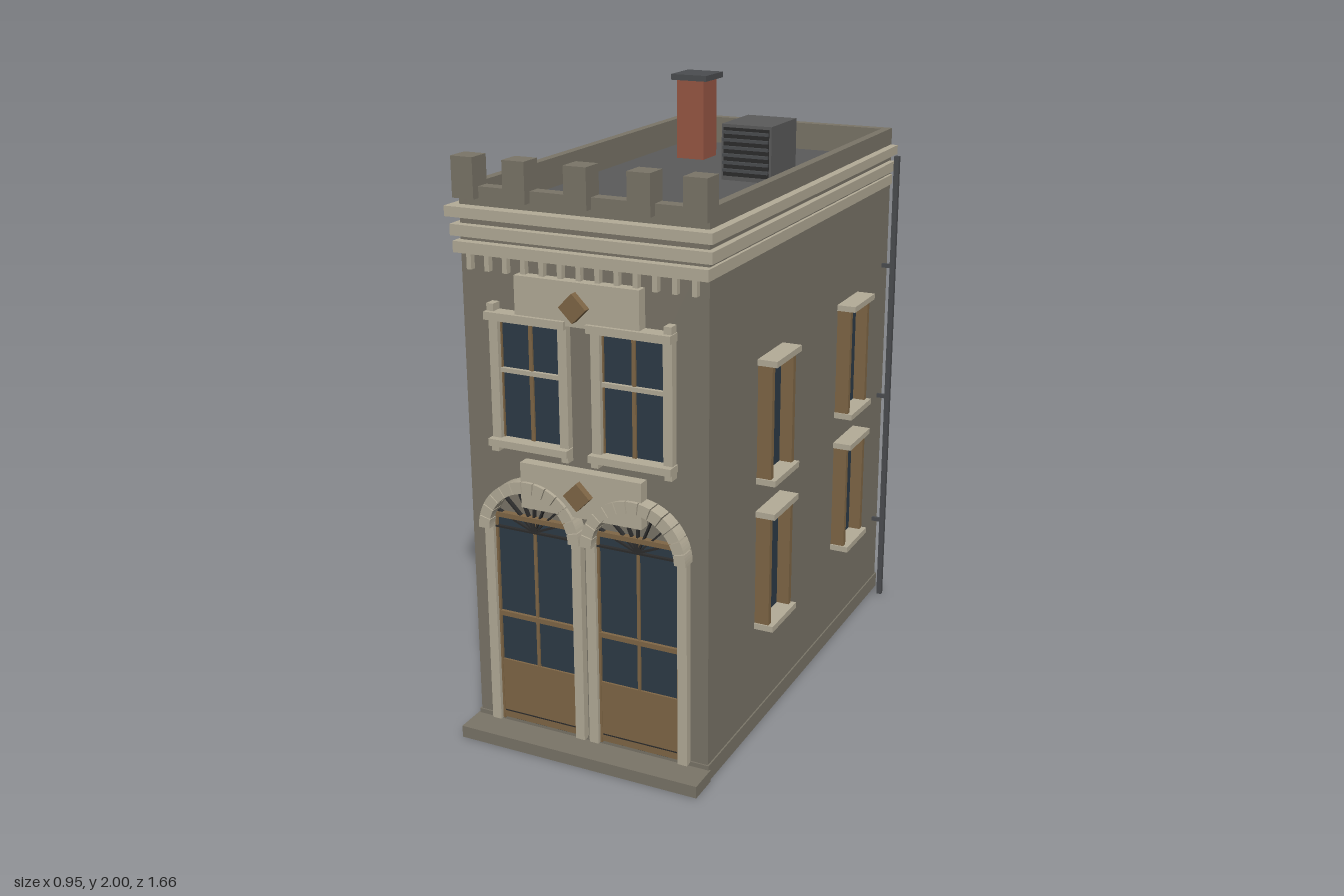
import * as THREE from 'three';

const mat = (name, color) => new THREE.MeshStandardMaterial({ name, color });

export function createModel() {
  const model = new THREE.Group();
  model.name = 'townhouse';
  const stone = mat('wall stone', 0x7a7568);
  const trim = mat('pale trim', 0xb4ac98);
  const wood = mat('wood', 0x806746);
  const glass = mat('dark glass', 0x2d3b47);
  const roofing = mat('roof grey', 0x5b5b5b);
  const iron = mat('dark iron', 0x4b4d50);
  const brick = mat('brick', 0x985744);
  const black = mat('black metal', 0x2c2c2c);

  const add = (name, geo, material, parent = model) => {
    const m = new THREE.Mesh(geo, material);
    m.name = name;
    parent.add(m);
    return m;
  };
  // Box given by its extents on each axis
  const box = (name, material, x0, x1, y0, y1, z0, z1, parent = model) => {
    const m = add(name, new THREE.BoxGeometry(x1 - x0, y1 - y0, z1 - z0), material, parent);
    m.position.set((x0 + x1) / 2, (y0 + y1) / 2, (z0 + z1) / 2);
    return m;
  };
  const rect = (path, x0, x1, y0, y1) =>
    path.moveTo(x0, y0).lineTo(x1, y0).lineTo(x1, y1).lineTo(x0, y1).closePath();

  // Main body, plinth and front step
  box('body', stone, -0.41, 0.41, 0.03, 1.7, -0.8, 0.73);
  box('plinth', stone, -0.415, 0.415, 0, 0.055, -0.83, 0.735);
  box('frontStep', stone, -0.42, 0.42, 0, 0.04, 0.73, 0.835);

  // Rear wall with two recessed windows
  const floors = [[0.37, 0.76], [0.87, 1.26]];
  const rear = new THREE.Shape();
  rect(rear, -0.41, 0.41, 0.05, 1.8);
  for (const [y0, y1] of floors) {
    const hole = new THREE.Path();
    rect(hole, -0.13, 0.13, y0, y1);
    rear.holes.push(hole);
    box('rearGlass', glass, -0.13, 0.13, y0, y1, -0.806, -0.799);
  }
  add('rearWall', new THREE.ExtrudeGeometry(rear, { depth: 0.025, bevelEnabled: false }), stone)
    .position.z = -0.825;

  // Sunken roof, parapet and battlements
  box('roofDeck', roofing, -0.385, 0.385, 1.695, 1.705, -0.795, 0.69);
  for (const s of [-1, 1]) {
    const x = s * 0.395;
    box('sideParapet', stone, x - 0.015, x + 0.015, 1.7, 1.8, -0.8, 0.73);
  }
  box('frontParapet', stone, -0.38, 0.38, 1.7, 1.8, 0.685, 0.73);
  box('rearParapet', stone, -0.38, 0.38, 1.7, 1.8, -0.8, -0.79);
  for (const x of [-0.378, -0.203, 0, 0.203, 0.378])
    box('merlon', stone, x - 0.037, x + 0.037, 1.765, 1.89, 0.682, 0.758);

  // Cornice bands round the front and both sides
  const bands = [[1.6, 1.635, 0.42, 0.76], [1.65, 1.685, 0.43, 0.757], [1.71, 1.742, 0.437, 0.772]];
  for (const [y0, y1, w, z] of bands) {
    for (const s of [-1, 1])
      box('sideCornice', trim, Math.min(s * 0.4, s * w), Math.max(s * 0.4, s * w), y0, y1, -0.815, 0.735);
    box('frontCornice', trim, -w, w, y0, y1, 0.715, z);
  }
  for (let i = 0; i < 13; i++) {
    const x = -0.372 + i * 0.062;
    box('dentil', trim, x - 0.008, x + 0.008, 1.55, 1.602, 0.725, 0.75);
  }

  // Chimney
  box('chimney', brick, -0.255, -0.152, 1.7, 1.98, -0.54, -0.43);
  box('chimneyCap', iron, -0.273, -0.137, 1.98, 2, -0.56, -0.42);

  // Roof ventilation unit with louvres
  box('ventUnit', roofing, 0.057, 0.234, 1.7, 1.89, -0.34, -0.125);
  box('ventGrille', black, 0.065, 0.226, 1.72, 1.88, -0.126, -0.121);
  for (let i = 0; i < 6; i++)
    box('ventLouvre', iron, 0.065, 0.226, 1.735 + i * 0.025, 1.745 + i * 0.025, -0.123, -0.112);

  // Side windows and drainpipes, mirrored
  for (const s of [-1, 1]) {
    const side = (name, m, d0, d1, y0, y1, z0, z1) =>
      box(name, m, Math.min(s * d0, s * d1), Math.max(s * d0, s * d1), y0, y1, z0, z1);
    for (const z of [0.28, -0.41]) {
      for (const [y0, y1] of floors) {
        side('sideGlass', glass, 0.408, 0.416, y0, y1, z - 0.085, z + 0.085);
        side('sideSill', trim, 0.405, 0.475, y0 - 0.008, y0 + 0.012, z - 0.1, z + 0.1);
        side('sideLintel', trim, 0.405, 0.475, y1 - 0.01, y1 + 0.01, z - 0.1, z + 0.1);
        for (const e of [-1, 1])
          side('sideJamb', wood, 0.405, 0.458, y0 + 0.01, y1 - 0.008, z + e * 0.085 - 0.01, z + e * 0.085 + 0.01);
      }
    }
    side('drainpipe', iron, 0.442, 0.46, 0, 1.71, -0.78, -0.762);
    for (const y of [0.3, 0.8, 1.3])
      side('pipeBracket', iron, 0.405, 0.445, y, y + 0.015, -0.776, -0.766);
  }

  // Arched doorways
  const springY = 0.73;
  for (const cx of [-0.18, 0.18]) {
    const door = new THREE.Group();
    door.name = 'archedDoor';
    door.position.x = cx;
    model.add(door);
    box('doorGlass', glass, -0.138, 0.138, 0.05, 0.77, 0.728, 0.735, door);
    box('doorPanel', wood, -0.138, 0.138, 0.055, 0.265, 0.73, 0.742, door);
    box('panelGroove', black, -0.13, 0.13, 0.078, 0.082, 0.741, 0.743, door);
    box('middleRail', wood, -0.138, 0.138, 0.422, 0.438, 0.73, 0.746, door);
    box('transom', wood, -0.14, 0.14, 0.764, 0.78, 0.73, 0.75, door);
    box('fanBase', black, -0.14, 0.14, 0.726, 0.732, 0.73, 0.746, door);
    box('doorMullion', wood, -0.005, 0.005, 0.265, 0.765, 0.73, 0.741, door);
    for (const e of [-1, 1]) {
      box('doorStile', wood, e * 0.137 - 0.005, e * 0.137 + 0.005, 0.05, 0.765, 0.73, 0.744, door);
      box('doorJamb', trim, e * 0.155 - 0.016, e * 0.155 + 0.016, 0.05, 0.74, 0.725, 0.757, door);
    }
    // Radiating bars of the fanlight
    for (let i = 1; i < 8; i++) {
      const a = (i * Math.PI) / 8;
      const bar = add('fanBar', new THREE.BoxGeometry(0.14, 0.006, 0.014), black, door);
      bar.position.set(Math.cos(a) * 0.07, springY + Math.sin(a) * 0.07, 0.738);
      bar.rotation.z = a;
    }
    // Arch ring of separate wedge stones
    const n = 13;
    for (let i = 0; i < n; i++) {
      const a0 = (i * Math.PI) / n + 0.01, a1 = ((i + 1) * Math.PI) / n - 0.01;
      const wedge = new THREE.Shape();
      wedge.absarc(0, 0, 0.178, a0, a1, false);
      wedge.absarc(0, 0, 0.14, a1, a0, true);
      const g = new THREE.ExtrudeGeometry(wedge, { depth: 0.055, bevelEnabled: false, curveSegments: 2 });
      add('archStone', g, trim, door).position.set(0, springY, 0.725);
    }
  }

  // Upper front windows
  for (const cx of [-0.173, 0.173]) {
    const win = new THREE.Group();
    win.name = 'upperWindow';
    win.position.x = cx;
    model.add(win);
    box('windowGlass', glass, -0.105, 0.105, 1.03, 1.415, 0.728, 0.735, win);
    box('windowMullion', wood, -0.006, 0.006, 1.03, 1.415, 0.73, 0.742, win);
    box('windowRail', trim, -0.105, 0.105, 1.242, 1.256, 0.73, 0.748, win);
    box('windowLintel', trim, -0.137, 0.137, 1.41, 1.435, 0.725, 0.78, win);
    box('windowSill', trim, -0.137, 0.137, 1.01, 1.033, 0.725, 0.78, win);
    for (const e of [-1, 1]) {
      box('windowJamb', trim, e * 0.118 - 0.015, e * 0.118 + 0.015, 1.03, 1.412, 0.725, 0.758, win);
      box('windowStile', wood, e * 0.102 - 0.003, e * 0.102 + 0.003, 1.03, 1.412, 0.73, 0.742, win);
      box('lintelEar', trim, e * 0.122 - 0.012, e * 0.122 + 0.012, 1.434, 1.458, 0.725, 0.765, win);
      box('sillFoot', trim, e * 0.122 - 0.012, e * 0.122 + 0.012, 0.99, 1.012, 0.725, 0.765, win);
    }
  }
  box('centrePilaster', stone, -0.033, 0.033, 0.99, 1.42, 0.725, 0.745);

  // Signboards with a wooden diamond
  for (const [y0, y1, yc] of [[0.82, 0.968, 0.895], [1.42, 1.555, 1.482]]) {
    box('facadePanel', trim, -0.207, 0.207, y0, y1, 0.725, 0.768);
    const d = add('diamond', new THREE.BoxGeometry(0.064, 0.064, 0.03), wood);
    d.position.set(0, yc, 0.777);
    d.rotation.z = Math.PI / 4;
  }
  return model;
}
